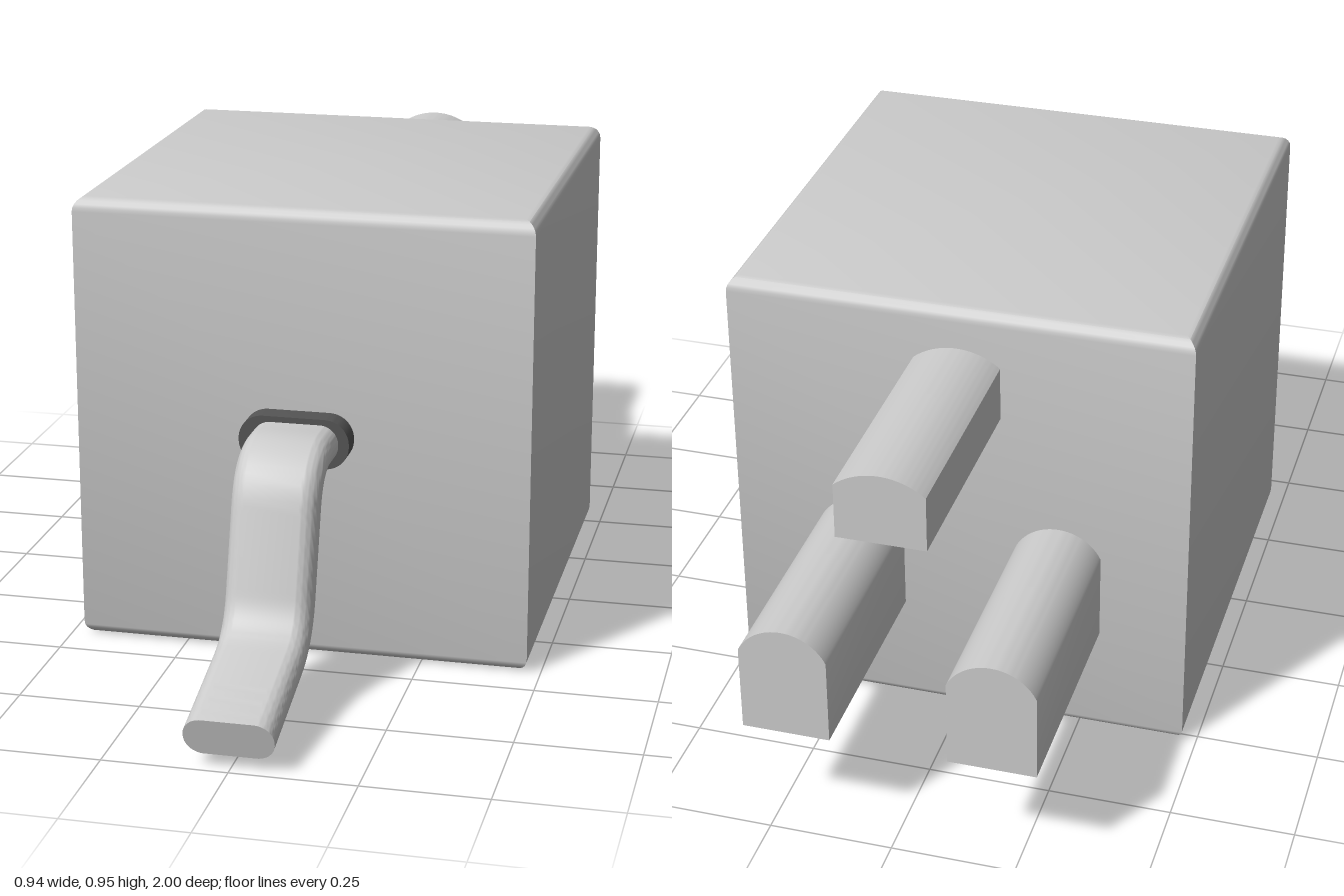
import * as THREE from 'three';
import { toCreasedNormals } from 'three/addons/utils/BufferGeometryUtils.js';

const grey = new THREE.MeshStandardMaterial({ color: 0xcccccc });
const dark = new THREE.MeshStandardMaterial({ color: 0x555555 });

function add(group, name, geometry, material = grey) {
  const mesh = new THREE.Mesh(toCreasedNormals(geometry, 0.6), material);
  mesh.name = name;
  group.add(mesh);
  return mesh;
}

// Rounded rectangle centred on the origin
function roundedRect(w, h, r) {
  const s = new THREE.Shape();
  const x = w / 2 - r, y = h / 2 - r;
  s.absarc(x, y, r, 0, Math.PI / 2);
  s.absarc(-x, y, r, Math.PI / 2, Math.PI);
  s.absarc(-x, -y, r, Math.PI, Math.PI * 1.5);
  s.absarc(x, -y, r, Math.PI * 1.5, Math.PI * 2);
  s.closePath();
  return s;
}

// Four-sided body: square plan, rounded top and bottom edges
function bodyGeometry(half, height, r) {
  const pts = [new THREE.Vector2(0, 0)];
  for (const [cy, start] of [[r, -Math.PI / 2], [height - r, 0]]) {
    for (let i = 0; i <= 6; i++) {
      const a = start + (i / 6) * Math.PI / 2;
      pts.push(new THREE.Vector2((half - r + r * Math.cos(a)) * Math.SQRT2, cy + r * Math.sin(a)));
    }
  }
  pts.push(new THREE.Vector2(0, height));
  return new THREE.LatheGeometry(pts, 4, Math.PI / 4);
}

// Pin with flat sides and an arched top, running along z
function pinGeometry(halfWidth, bottom, shoulder, top, length) {
  const rise = top - shoulder;
  const r = (halfWidth ** 2 + rise ** 2) / (2 * rise);
  const a = Math.asin(halfWidth / r);
  const s = new THREE.Shape();
  s.moveTo(-halfWidth, bottom);
  s.lineTo(halfWidth, bottom);
  s.lineTo(halfWidth, shoulder);
  s.absarc(0, top - r, r, Math.PI / 2 - a, Math.PI / 2 + a);
  s.closePath();
  return new THREE.ExtrudeGeometry(s, { depth: length, bevelEnabled: false, curveSegments: 16 });
}

// Flat cord: a straight extrusion bent along a path in the zy plane
function cordGeometry() {
  const v = (z, y) => new THREE.Vector2(z, y);
  const path = new THREE.CurvePath();
  const line = (a, b) => path.add(new THREE.LineCurve(a, b));
  const bend = (a, b, c) => path.add(new THREE.QuadraticBezierCurve(a, b, c));
  const corners = [v(0.41, 0.477), v(0.598, 0.477), v(0.695, 0.146), v(0.993, 0.065)];
  let from = corners[0];
  for (let i = 1; i < 3; i++) {
    const c = corners[i];
    const toward = (p) => c.clone().add(p.clone().sub(c).setLength(0.085));
    const enter = toward(corners[i - 1]), leave = toward(corners[i + 1]);
    line(from, enter);
    bend(enter, c, leave);
    from = leave;
  }
  line(from, corners[3]);

  const geo = new THREE.ExtrudeGeometry(roundedRect(0.178, 0.08, 0.038),
    { depth: 1, steps: 64, bevelEnabled: false, curveSegments: 8 });
  const pos = geo.attributes.position;
  for (let i = 0; i < pos.count; i++) {
    const t = THREE.MathUtils.clamp(pos.getZ(i), 0, 1);
    const h = pos.getY(i);
    const p = path.getPointAt(t), d = path.getTangentAt(t);
    pos.setXYZ(i, pos.getX(i), p.y + d.x * h, p.x - d.y * h);
  }
  return geo;
}

export function createModel() {
  const group = new THREE.Group();
  group.name = 'plug';

  const body = add(group, 'body', bodyGeometry(0.472, 0.947, 0.03));
  body.position.z = -0.053;

  // Three pins at the back
  for (const side of [-1, 1]) {
    const pin = add(group, side > 0 ? 'leftPin' : 'rightPin', pinGeometry(0.088, 0.24, 0.42, 0.476, 0.48));
    pin.position.set(side * 0.206, 0, -1);
  }
  add(group, 'upperPin', pinGeometry(0.088, 0.715, 0.828, 0.86, 0.48)).position.z = -1;

  // Cord and its collar at the front
  const collar = add(group, 'cordCollar', new THREE.ExtrudeGeometry(roundedRect(0.228, 0.104, 0.05),
    { depth: 0.06, bevelEnabled: false, curveSegments: 6 }), dark);
  collar.position.set(-0.003, 0.477, 0.406);
  add(group, 'cord', cordGeometry());

  return group;
}
